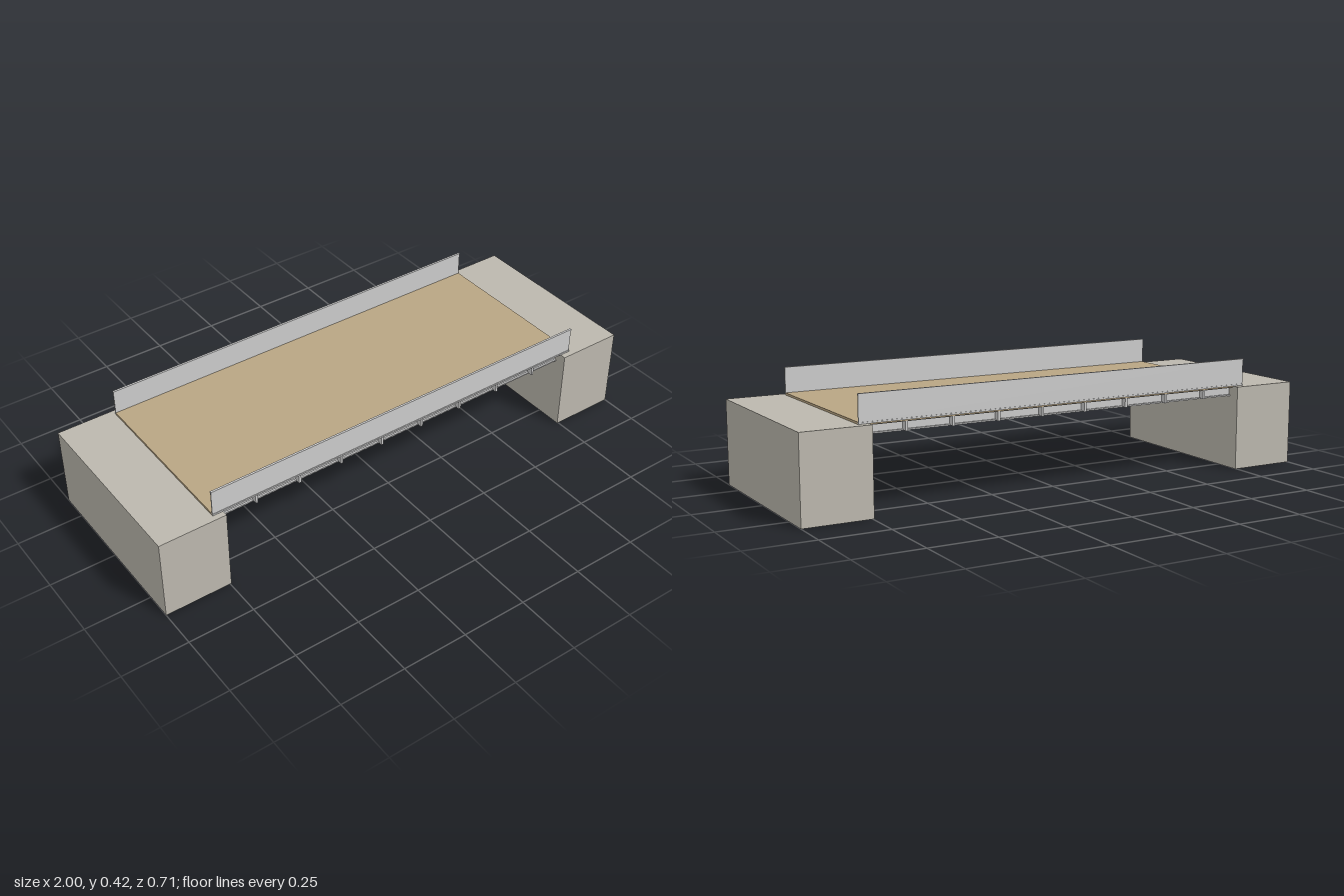
import * as THREE from 'three';

const steel = new THREE.MeshStandardMaterial({ color: 0xcccccc });
const concrete = new THREE.MeshStandardMaterial({ color: 0xbcb8ae });
const timber = new THREE.MeshStandardMaterial({ color: 0xb9a583 });

// Box given by its size and the height of its underside
function box(parent, name, material, [w, h, d], [x, bottom, z]) {
  const mesh = new THREE.Mesh(new THREE.BoxGeometry(w, h, d), material);
  mesh.name = name;
  mesh.position.set(x, bottom + h / 2, z);
  parent.add(mesh);
}

// I-section beam running along x, extruded from its outline
function iBeam(parent, name, length, height, width, web, flange, bottom, z) {
  const a = width / 2, b = web / 2, t = height - flange;
  const outline = [
    [-a, 0], [a, 0], [a, flange], [b, flange], [b, t], [a, t],
    [a, height], [-a, height], [-a, t], [-b, t], [-b, flange], [-a, flange],
  ].map(([x, y]) => new THREE.Vector2(x, y));
  const geometry = new THREE.ExtrudeGeometry(new THREE.Shape(outline), { depth: length, bevelEnabled: false });
  geometry.translate(0, 0, -length / 2).rotateY(Math.PI / 2);
  const mesh = new THREE.Mesh(geometry, steel);
  mesh.name = name;
  mesh.position.set(0, bottom, z);
  parent.add(mesh);
}

export function createModel() {
  const bridge = new THREE.Group();
  bridge.name = 'bridge';

  // Concrete blocks at both ends
  for (const side of [-1, 1]) {
    box(bridge, side > 0 ? 'leftAbutment' : 'rightAbutment', concrete,
      [0.255, 0.314, 0.706], [side * 0.8725, 0, 0]);
  }

  // Road deck
  box(bridge, 'deck', timber, [1.57, 0.012, 0.652], [0, 0.31, 0]);

  // Side parapets
  for (const side of [-1, 1]) {
    iBeam(bridge, side > 0 ? 'frontParapet' : 'backParapet',
      1.57, 0.101, 0.008, 0.004, 0.006, 0.315, side * 0.328);
  }

  // Long girders under the deck
  for (const z of [-0.3, 0, 0.3]) {
    iBeam(bridge, 'girder', 1.57, 0.035, 0.02, 0.006, 0.005, 0.275, z);
  }

  // Cross beams, their ends showing past the outer girders
  for (let i = 0; i < 8; i++) {
    box(bridge, 'crossBeam', steel, [0.009, 0.034, 0.65], [(i - 3.5) * 0.1745, 0.276, 0]);
  }
  return bridge;
}
